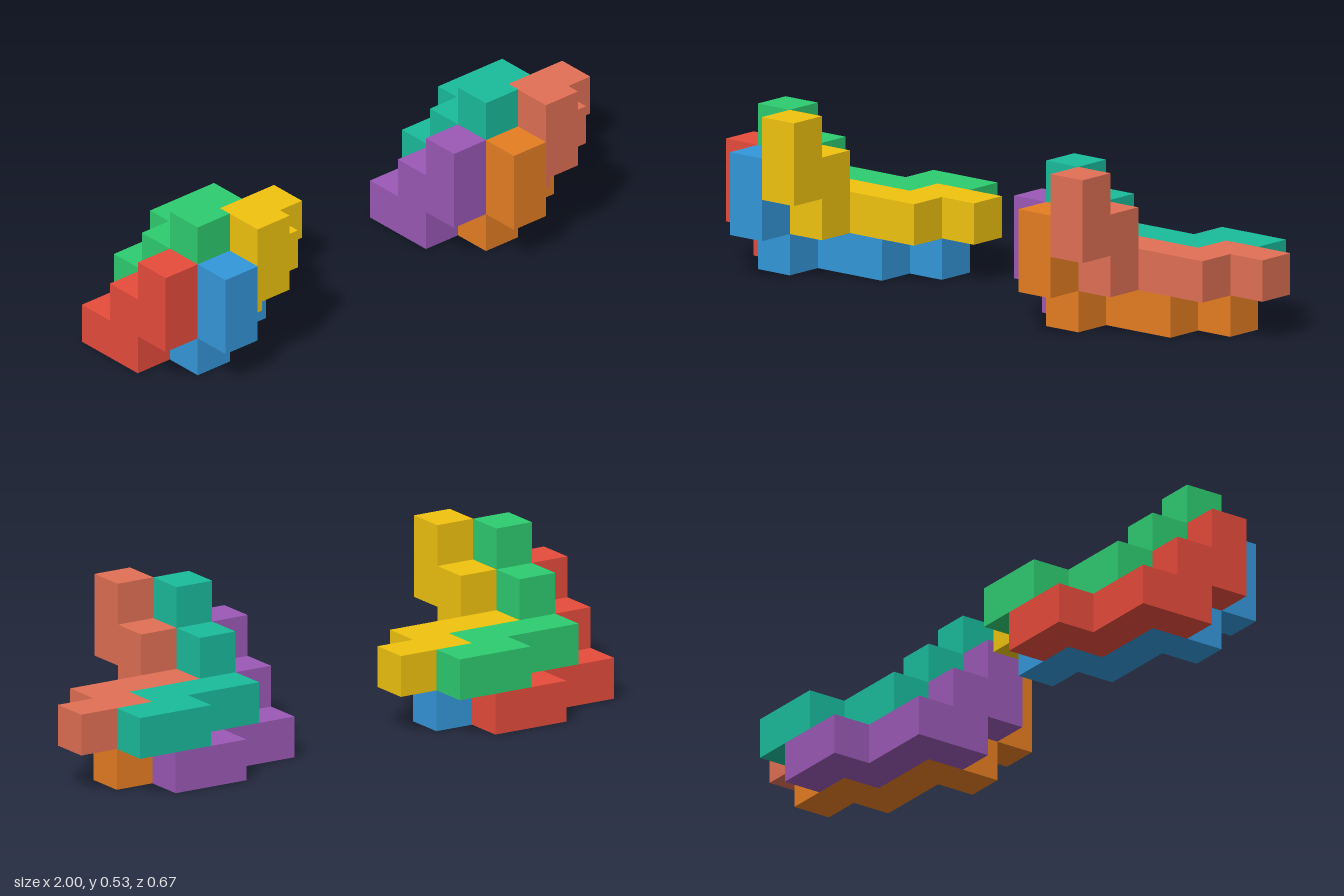
import * as THREE from 'three';

const U = 2 / 15; // edge of one cube cell

function extrude(points, depth) {
  const shape = new THREE.Shape(points.map(([x, y]) => new THREE.Vector2(x, y)));
  return new THREE.ExtrudeGeometry(shape, { depth, bevelEnabled: false });
}

// Flat zigzag foot, one cell high
const baseGeometry = extrude(
  [[0, 0], [0, -1], [3, -1], [3, 0], [4, 0], [4, 1], [2, 1], [2, 0]], 1
).rotateX(-Math.PI / 2);

// Staircase arm climbing towards the front, one cell wide
const armGeometry = extrude(
  [[1, 0], [2, 0], [2, 1], [3, 1], [3, 3], [2, 3], [2, 2], [1, 2]], 1
).rotateY(-Math.PI / 2).translate(1, 0, 0);

function makePiece(name, color, cell) {
  const piece = new THREE.Group();
  piece.name = name;
  const material = new THREE.MeshStandardMaterial({ color });
  const base = new THREE.Mesh(baseGeometry, material);
  base.name = 'zigzagBase';
  const arm = new THREE.Mesh(armGeometry, material);
  arm.name = 'stairArm';
  piece.add(base, arm);
  piece.position.set(...cell);
  return piece;
}

// Four identical pieces nested together
const cells = [[0, 0, 1], [1, 0, 2], [1, 1, 1], [2, 1, 2]];

function makeCluster(name, x, pieces) {
  const cluster = new THREE.Group();
  cluster.name = name;
  pieces.forEach(([pieceName, color], i) => cluster.add(makePiece(pieceName, color, cells[i])));
  cluster.scale.setScalar(U);
  cluster.position.set(x, 0, -2.5 * U);
  return cluster;
}

export function createModel() {
  const model = new THREE.Group();
  model.name = 'interlockingBlocks';
  model.add(
    makeCluster('rightCluster', -1, [
      ['redPiece', 0xe74c3c], ['bluePiece', 0x3498db],
      ['greenPiece', 0x2ecc71], ['yellowPiece', 0xf1c40f],
    ]),
    makeCluster('leftCluster', 0.2, [
      ['purplePiece', 0x9b59b6], ['orangePiece', 0xe67e22],
      ['tealPiece', 0x1abc9c], ['coralPiece', 0xe17055],
    ])
  );
  return model;
}
